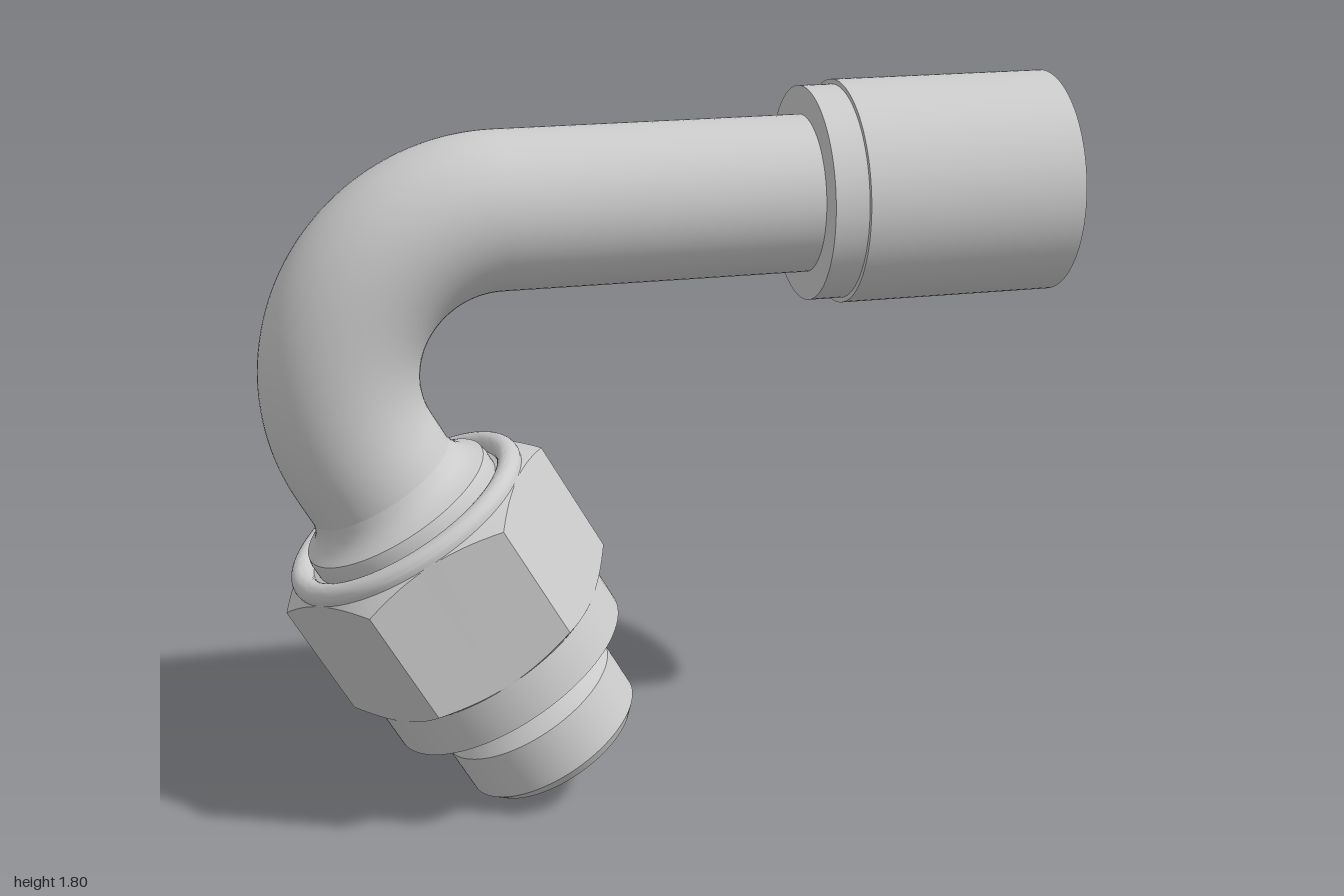
import * as THREE from 'three';
import { toCreasedNormals } from 'three/addons/utils/BufferGeometryUtils.js';

const grey = new THREE.MeshStandardMaterial({ color: 0xcccccc });
const greyInside = new THREE.MeshStandardMaterial({ color: 0xcccccc, side: THREE.DoubleSide });

const AXIS_Y = 1.525;                 // height of the horizontal run
const BEND_X = -0.41, BEND_R = 0.395; // bend centre and centreline radius
const BEND = THREE.MathUtils.degToRad(120);
const TUBE_R = 0.195, BORE_R = 0.16;

// Centreline: straight run, 120 degree bend, short straight into the fitting
class PipePath extends THREE.Curve {
  constructor(startX, tail) {
    super();
    this.startX = startX;
    this.tail = tail;
  }
  getPoint(t, target = new THREE.Vector3()) {
    const run = this.startX - BEND_X, arc = BEND_R * BEND;
    const d = t * (run + arc + this.tail);
    if (d < run) return target.set(this.startX - d, AXIS_Y, 0);
    const a = Math.min((d - run) / BEND_R, BEND);
    const rest = Math.max(d - run - arc, 0);
    return target.set(
      BEND_X - BEND_R * Math.sin(a) - rest * Math.cos(a),
      AXIS_Y - BEND_R + BEND_R * Math.cos(a) - rest * Math.sin(a), 0);
  }
}

function add(parent, name, geometry, material = grey) {
  const mesh = new THREE.Mesh(geometry, material);
  mesh.name = name;
  parent.add(mesh);
}

// Turned part from [radius, distance along axis] pairs
function turned(profile, crease = 0.5) {
  const points = profile.map(([r, s]) => new THREE.Vector2(r, s));
  return toCreasedNormals(new THREE.LatheGeometry(points, 96), crease);
}

// Hexagon with both ends chamfered by a cone
function hexNut(flat, s0, s1, bore) {
  const points = [[bore, s0], [flat, s0], [flat, s0], [flat, s1], [flat, s1], [bore, s1]]
    .map(([r, s]) => new THREE.Vector2(r, s));
  const geometry = new THREE.LatheGeometry(points, 96);
  const pos = geometry.attributes.position;
  for (let i = 0; i < pos.count; i++) {
    const row = i % 6;
    if (row !== 2 && row !== 3) continue;
    const sector = Math.PI / 3;
    const phi = Math.floor(i / 6) / 96 * Math.PI * 2;
    const off = phi - Math.round(phi / sector) * sector;
    const r = flat / Math.cos(off);
    const drop = (r - flat) * 0.58 + 0.001;
    pos.setXYZ(i, r * Math.sin(phi), row === 2 ? s0 + drop : s1 - drop, r * Math.cos(phi));
  }
  return toCreasedNormals(geometry, 0.4);
}

export function createModel() {
  const model = new THREE.Group();

  // Bent pipe, outside and bore
  add(model, 'pipe', new THREE.TubeGeometry(new PipePath(0.5, 0.25), 120, TUBE_R, 64));
  add(model, 'pipeBore', new THREE.TubeGeometry(new PipePath(0.95, 0.83), 140, BORE_R, 64), greyInside);

  // Hose socket on the horizontal end
  const socket = new THREE.Group();
  socket.name = 'hoseSocket';
  socket.position.set(0.36, AXIS_Y, 0);
  socket.rotation.z = -Math.PI / 2;
  add(socket, 'sleeve', turned([
    [0.19, 0], [0.265, 0], [0.265, 0.085], [0.277, 0.085], [0.277, 0.64],
    [0.25, 0.64], [0.25, 0.1], [0.19, 0.1],
  ]));
  add(socket, 'nipple', turned([
    [0.22, 0.1], [0.22, 0.57], [0.195, 0.61], [0.17, 0.61], [BORE_R, 0.59],
  ]));
  model.add(socket);

  // Threaded fitting on the angled end; local +y runs outward along the pipe
  const fitting = new THREE.Group();
  fitting.name = 'fitting';
  fitting.position.copy(new PipePath(0.5, 0).getPoint(1));
  fitting.rotation.z = -Math.PI / 2 - BEND / 2;

  // Flared collar with a rounded lip
  const ring = [
    [0.194, 0.07], [0.198, 0.09], [0.207, 0.11], [0.222, 0.127], [0.24, 0.138],
    [0.252, 0.145], [0.256, 0.16], [0.256, 0.195], [0.267, 0.195],
  ];
  for (let i = 1; i <= 12; i++) {
    const a = Math.PI * (1 - i / 12);
    ring.push([0.297 + 0.03 * Math.cos(a), 0.195 - 0.03 * Math.sin(a)]);
  }
  ring.push([0.322, 0.22]);
  add(fitting, 'retainingRing', turned(ring));

  add(fitting, 'hexNut', hexNut(0.325, 0.205, 0.58, 0.2));

  // Shoulder, relief groove, threaded spigot and tapered seat
  add(fitting, 'spigot', turned([
    [0.325, 0.56], [0.325, 0.69], [0.225, 0.69], [0.207, 0.697], [0.2, 0.715],
    [0.2, 0.745], [0.24, 0.785], [0.24, 0.916], [0.215, 0.945], [0.185, 0.945],
    [BORE_R, 0.82],
  ]));
  model.add(fitting);

  return model;
}
